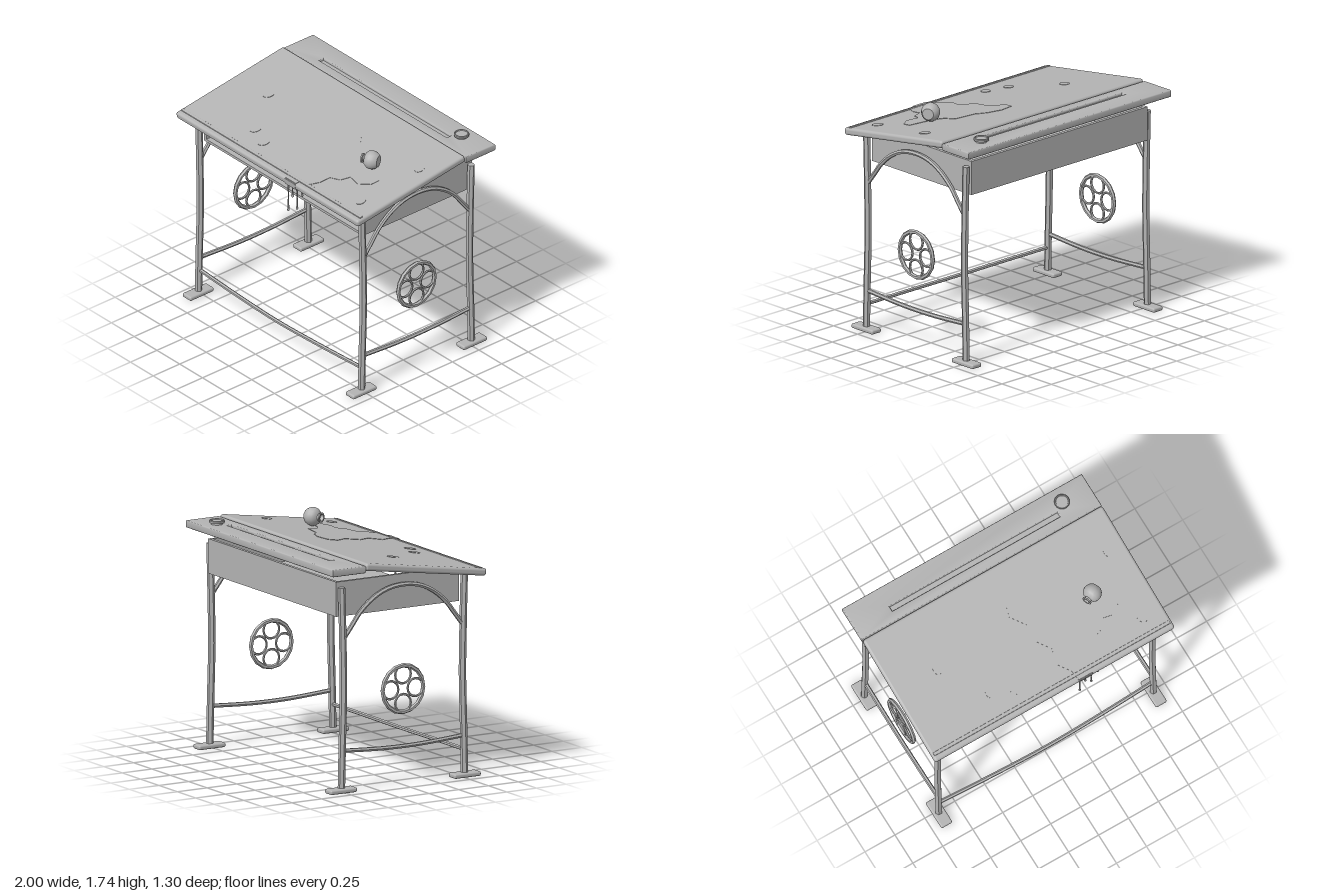
import * as THREE from 'three';
import { toCreasedNormals } from 'three/addons/utils/BufferGeometryUtils.js';
import { RoundedBoxGeometry } from 'three/addons/geometries/RoundedBoxGeometry.js';

const V = (x, y, z) => new THREE.Vector3(x, y, z);

export function createModel() {
  const model = new THREE.Group();
  const grey = new THREE.MeshStandardMaterial({ color: 0xb4b4b4 });

  const add = (name, geo, x = 0, y = 0, z = 0, parent = model) => {
    const mesh = new THREE.Mesh(geo, grey);
    mesh.name = name;
    mesh.position.set(x, y, z);
    parent.add(mesh);
    return mesh;
  };
  const rounded = (w, h, d, r) => new RoundedBoxGeometry(w, h, d, 3, r);
  // Bent rod with faceted sides
  const rod = (points, radius, steps = 16, sides = 6) => toCreasedNormals(
    new THREE.TubeGeometry(new THREE.CatmullRomCurve3(points), steps, radius, sides), 0.6);
  // Outline drawn as [x, z], laid flat with its thickness going up
  const slab = (shape, depth, options = {}) => new THREE.ExtrudeGeometry(shape,
    { depth, bevelEnabled: false, curveSegments: 16, ...options }).rotateX(-Math.PI / 2);
  const rect = (Type, x0, y0, x1, y1) => new Type(
    [[x0, y0], [x1, y0], [x1, y1], [x0, y1]].map(p => new THREE.Vector2(...p)));

  // Legs, feet, side rails, arches and wheels
  for (const side of [-1, 1]) {
    const x = side * 0.895;
    for (const end of [-1, 1]) {
      const name = end > 0 ? 'front' : 'back';
      const path = [[1.5, 0.516], [1.1, 0.506], [0.75, 0.501], [0.35, 0.511], [0.03, 0.518]]
        .map(([y, z]) => V(x, y, end * z));
      add(name + 'Leg', rod(path, 0.0267));
      add(name + 'LegCap', new THREE.CircleGeometry(0.0267, 6).rotateX(-Math.PI / 2), x, 1.5, end * 0.516);
      add(name + 'Foot', rounded(0.092, 0.034, 0.223, 0.013), x, 0.017, end * 0.521);
    }
    add('sideRail', rod([V(x, 0.305, 0.5), V(x, 0.287, 0.2), V(x, 0.283, 0), V(x, 0.287, -0.2), V(x, 0.305, -0.5)], 0.016));

    const half = [[0.5, 1.125], [0.43, 1.215], [0.36, 1.305], [0.26, 1.39], [0.14, 1.448]];
    add('sideArch', rod([
      ...half.map(([z, y]) => V(x, y, z)), V(x, 1.468, 0),
      ...half.slice().reverse().map(([z, y]) => V(x, y, -z))], 0.017, 28));

    const wheel = new THREE.Group();
    wheel.name = 'sideWheel';
    wheel.position.set(x, 0.703, 0);
    wheel.rotation.y = Math.PI / 2;
    model.add(wheel);
    add('wheelRim', toCreasedNormals(new THREE.TorusGeometry(0.171, 0.0165, 6, 16), 0.6), 0, 0, 0, wheel);
    for (let i = 0; i < 4; i++) {
      const a = i * Math.PI / 2;
      add('wheelRing', toCreasedNormals(new THREE.TorusGeometry(0.066, 0.009, 6, 16), 0.6),
        0.105 * Math.cos(a), 0.105 * Math.sin(a), 0, wheel);
    }
  }

  // Bowed rail between the front legs
  add('frontRail', rod([V(-0.89, 0.204, 0.512), V(-0.45, 0.196, 0.53), V(0, 0.19, 0.539),
    V(0.45, 0.196, 0.53), V(0.89, 0.204, 0.512)], 0.015));

  // Storage box, open at the front and top
  add('boxFloor', new THREE.BoxGeometry(1.74, 0.02, 1.034), 0, 1.296, -0.03);
  add('boxBack', new THREE.BoxGeometry(1.74, 0.24, 0.025), 0, 1.42, -0.5345);
  for (const s of [-1, 1]) add('boxSide', new THREE.BoxGeometry(0.025, 0.24, 1.034), s * 0.8575, 1.42, -0.03);

  // Flat back shelf with a pen groove
  const b = 0.01;
  const shelf = rect(THREE.Shape, -1 + b, 0.378 + b, 1 - b, 0.655 - b);
  shelf.holes.push(rect(THREE.Path, -0.71, 0.445, 0.71, 0.505));
  add('backShelf', toCreasedNormals(slab(shelf, 0.035,
    { bevelEnabled: true, bevelSize: b, bevelThickness: b, bevelSegments: 3 }), 0.7), 0, 1.619, 0);
  add('penGroove', new THREE.BoxGeometry(1.43, 0.03, 0.07), 0, 1.63, -0.475);

  // Ink pot set into the shelf
  const pot = [[0.042, 0], [0.042, 0.01], [0.054, 0.012], [0.056, 0.018], [0.056, 0.027],
    [0.052, 0.032], [0.046, 0.032], [0.044, 0.024], [0, 0.024]].map(p => new THREE.Vector2(...p));
  add('inkPot', toCreasedNormals(new THREE.LatheGeometry(pot, 20), 0.6), 0.765, 1.664, -0.538);

  // Sloping lid; its children use lid coordinates
  const tilt = 0.148, thick = 0.055, midZ = 0.1355;
  const lid = new THREE.Group();
  lid.name = 'lid';
  lid.position.set(0, 1.576, midZ);
  lid.rotation.x = tilt;
  model.add(lid);
  const onLid = z => (z - midZ) / Math.cos(tilt);
  add('lidBoard', rounded(2, thick, 1.028, 0.02), 0, 0, 0, lid);
  add('pencilStop', rounded(1.97, 0.012, 0.026, 0.004), 0, thick / 2, onLid(0.592), lid);

  // Spilled ink and loose spots
  const spill = [[0.02, -0.07], [0.13, -0.09], [0.24, -0.05], [0.3, 0.01], [0.47, 0.04], [0.49, 0.13],
    [0.56, 0.18], [0.66, 0.2], [0.75, 0.22], [0.74, 0.29], [0.66, 0.35], [0.56, 0.33], [0.53, 0.4],
    [0.45, 0.43], [0.44, 0.51], [0.4, 0.58], [0.32, 0.59], [0.315, 0.636], [0.2, 0.636], [0.19, 0.56],
    [0.11, 0.45], [0.15, 0.35], [0.07, 0.24], [0.08, 0.11], [0, 0]]
    .map(([x, z]) => new THREE.Vector2(x, -onLid(z)));
  add('inkSpill', slab(new THREE.Shape(spill), 0.004), 0, thick / 2 - 0.001, 0, lid);
  add('inkOverEdge', rounded(0.115, 0.05, 0.008, 0.003), 0.257, 0.003, 0.512, lid);
  for (const [x, z] of [[-0.64, 0.07], [-0.4, 0.4], [-0.235, 0.465], [0.865, -0.06], [0.83, 0.465]]) {
    const spot = new THREE.Shape();
    spot.absellipse(0, 0, 0.034, 0.044, 0, Math.PI * 2, false, x > 0 ? 0.3 : -0.2);
    add('inkSpot', slab(spot, 0.004), x, thick / 2 - 0.001, onLid(z), lid);
  }

  // Drips hanging from the front edge
  for (const [x, bottom] of [[0.217, 1.25], [0.262, 1.385], [0.312, 1.305], [0.367, 1.437]]) {
    const h = 1.485 - bottom;
    const drop = [[0, 0], [0.007, 0.004], [0.0095, 0.012], [0.006, 0.028], [0.0045, Math.max(0.04, h * 0.6)], [0.007, Math.max(0.045, h)]]
      .map(p => new THREE.Vector2(...p));
    add('inkDrip', new THREE.LatheGeometry(drop, 8), x, bottom, 0.625);
  }

  // Tipped ink bottle lying on the lid
  const bottle = [[0, -0.056], [0.042, -0.056], [0.056, -0.042], [0.067, -0.018], [0.069, 0], [0.064, 0.024],
    [0.048, 0.042], [0.027, 0.05], [0.025, 0.06], [0.036, 0.064], [0.036, 0.074], [0.024, 0.074], [0.02, 0.05], [0, 0.045]]
    .map(p => new THREE.Vector2(...p));
  const ink = add('inkBottle', toCreasedNormals(new THREE.LatheGeometry(bottle, 18), 0.75), 0.595, 1.671, 0.166);
  ink.quaternion.setFromUnitVectors(V(0, 1, 0), V(-0.9, 0, 0.44).normalize());

  return model;
}
